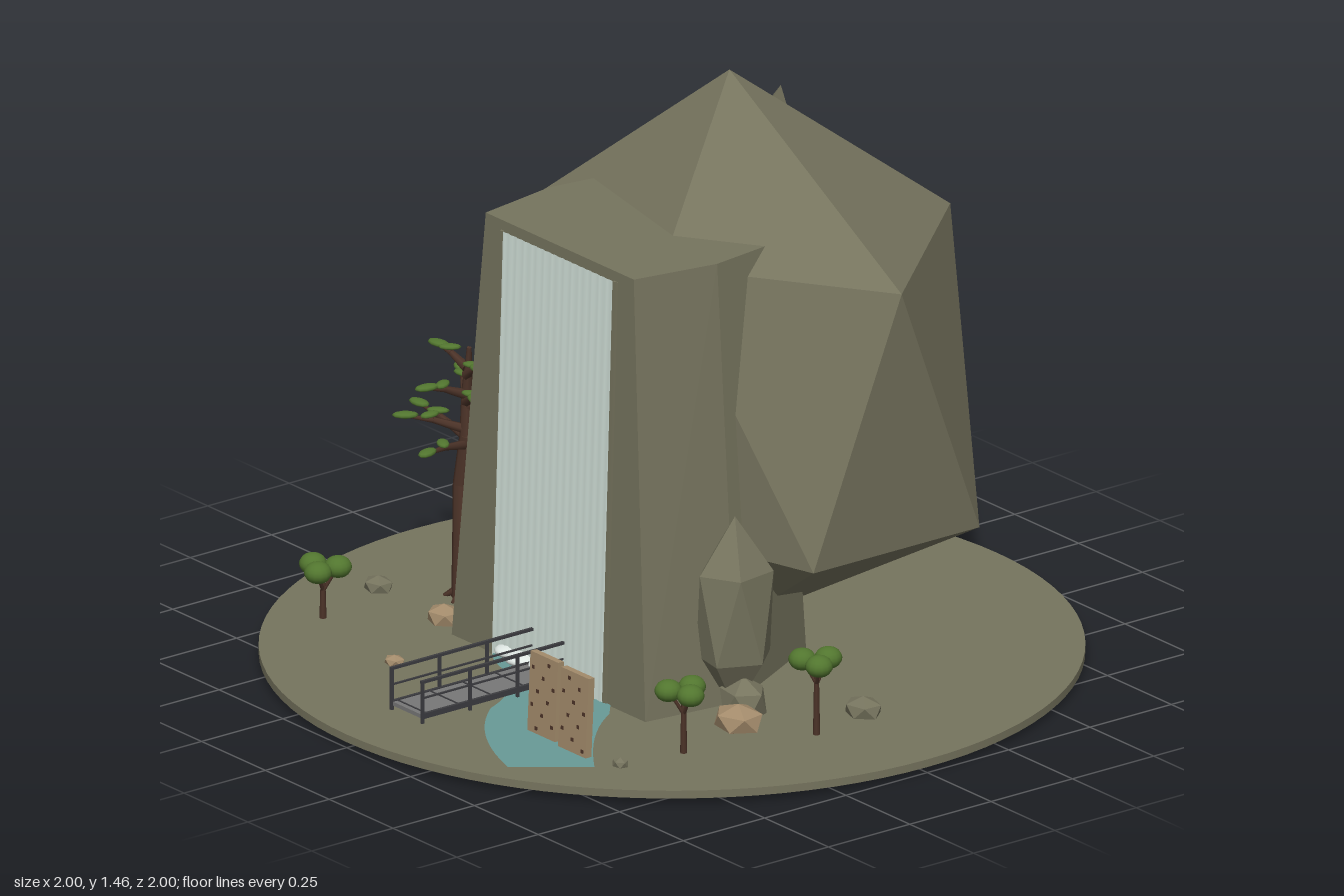
import * as THREE from 'three';
import { ConvexGeometry } from 'three/addons/geometries/ConvexGeometry.js';

const material = (name, color, extra = {}) => {
  const m = new THREE.MeshStandardMaterial({ color, ...extra });
  m.name = name;
  return m;
};

export function createModel() {
  const stone = material('stone', 0x76745e);
  const sandstone = material('sandstone', 0xa48c6c);
  const fallWater = material('fallWater', 0xd3e2da, { side: THREE.DoubleSide });
  const pool = material('pool', 0x689a97);
  const foamWhite = material('foamWhite', 0xe6eeea);
  const bark = material('bark', 0x4c3328);
  const leaf = material('leaf', 0x52762f);
  const deckGrey = material('deckGrey', 0x787878);
  const iron = material('iron', 0x3c3c40);

  const model = new THREE.Group();
  const group = (name) => {
    const g = new THREE.Group();
    g.name = name;
    model.add(g);
    return g;
  };
  const add = (parent, name, geometry, mat, x = 0, y = 0, z = 0) => {
    const mesh = new THREE.Mesh(geometry, mat);
    mesh.name = name;
    mesh.position.set(x, y, z);
    parent.add(mesh);
    return mesh;
  };
  const box = (parent, name, mat, w, h, d, x, y, z) =>
    add(parent, name, new THREE.BoxGeometry(w, h, d), mat, x, y, z);
  const hull = (points) => new ConvexGeometry(points.map((p) => new THREE.Vector3(...p)));

  // Tapered round limb between two points
  const limb = (parent, name, a, b, r0, r1, mat, sides = 7) => {
    const from = new THREE.Vector3(...a), to = new THREE.Vector3(...b);
    const dir = to.clone().sub(from);
    const mesh = add(parent, name, new THREE.CylinderGeometry(r1, r0, dir.length(), sides), mat);
    mesh.position.copy(from).addScaledVector(dir, 0.5);
    mesh.quaternion.setFromUnitVectors(new THREE.Vector3(0, 1, 0), dir.normalize());
    return mesh;
  };

  // Faceted stone with a vertex pointing up
  const boulder = (parent, name, mat, x, y, z, rx, ry, rz, turn) => {
    const g = new THREE.IcosahedronGeometry(1, 0).rotateX(-1.0172).rotateY(turn);
    g.scale(rx, ry, rz);
    g.computeVertexNormals();
    return add(parent, name, g, mat, x, y, z);
  };

  // Round ground plate
  add(model, 'ground', new THREE.CylinderGeometry(1, 1, 0.02, 96), stone, 0, 0.01, 0);

  // Large cliff boulder
  add(model, 'cliff', hull([
    [-0.03, 1.45, -0.2],
    [0.645, 1.07, -0.2], [0.23, 1.07, -0.675], [-0.55, 1.04, -0.51], [-0.52, 1.02, 0.04], [0.14, 1.07, 0.14],
    [0.58, 0.38, -0.49], [-0.14, 0.41, -0.7], [-0.65, 0.36, -0.27], [-0.2, 0.38, 0.24], [0.58, 0.38, 0.02],
    [-0.04, 0.01, -0.22],
  ]), stone);

  // Front buttress that carries the fall
  const buttress = [];
  for (const s of [-1, 1]) {
    buttress.push([s * 0.29, 1.13, 0.345], [s * 0.33, 1.13, 0.12], [s * 0.3, 1.13, -0.1],
      [s * 0.38, 0.01, 0.38], [s * 0.41, 0.01, 0.12], [s * 0.22, 0.01, -0.24]);
  }
  add(model, 'buttress', hull(buttress), stone);

  // Small shard on the back slope
  add(model, 'shard', hull([
    [-0.16, 1.31, -0.46], [-0.25, 1.16, -0.4], [-0.15, 1.2, -0.35], [-0.14, 1.15, -0.5], [-0.19, 1.13, -0.5],
  ]), stone);

  // Rippled waterfall sheet following the slope of the buttress
  const faceZ = (y) => 0.345 + ((1.13 - y) / 1.12) * 0.035;
  const fall = new THREE.PlaneGeometry(0.43, 1.085, 44, 1);
  const pos = fall.attributes.position;
  for (let i = 0; i < pos.count; i++) {
    const y = pos.getY(i) + 0.5625;
    pos.setXYZ(i, pos.getX(i), y, faceZ(y) + 0.005 + 0.0015 * Math.sin(i * 2.3));
  }
  fall.computeVertexNormals();
  add(model, 'waterfall', fall, fallWater);
  for (const s of [-1, 1]) {
    limb(model, 'fallEdge', [s * 0.221, 0.02, faceZ(0.02)], [s * 0.221, 1.105, faceZ(1.105)], 0.008, 0.008, stone, 4);
  }

  // Stream
  const stream = new THREE.Shape();
  stream.moveTo(-0.23, -0.36);
  stream.quadraticCurveTo(-0.19, -0.43, -0.06, -0.44);
  stream.quadraticCurveTo(0.04, -0.52, 0.08, -0.62);
  stream.quadraticCurveTo(0.2, -0.77, 0.42, -0.835);
  stream.lineTo(0.55, -0.67);
  stream.quadraticCurveTo(0.36, -0.54, 0.29, -0.42);
  stream.lineTo(0.22, -0.36);
  add(model, 'stream', new THREE.ShapeGeometry(stream, 10).rotateX(-Math.PI / 2), pool, 0, 0.0235, 0);

  // Foam at the foot of the fall
  const foam = group('foam');
  for (const [x, z, r] of [[-0.16, 0.37, 0.04], [-0.1, 0.38, 0.045], [-0.03, 0.37, 0.04],
    [0.04, 0.37, 0.04], [0.105, 0.38, 0.045], [0.155, 0.37, 0.03]]) {
    add(foam, 'foamPuff', new THREE.SphereGeometry(r, 16, 10).scale(1, 0.4, 1), foamWhite, x, 0.042, z);
  }

  // Footbridge with railings
  const bridge = group('footbridge');
  box(bridge, 'deck', deckGrey, 0.12, 0.01, 0.46, 0, 0.04, 0.585);
  for (let i = 0; i < 5; i++) box(bridge, 'deckJoint', iron, 0.12, 0.003, 0.004, 0, 0.0455, 0.4 + i * 0.1);
  for (const s of [-1, 1]) {
    box(bridge, 'beam', iron, 0.008, 0.014, 0.46, s * 0.058, 0.041, 0.585);
    box(bridge, 'handrail', iron, 0.008, 0.007, 0.45, s * 0.06, 0.13, 0.593);
    box(bridge, 'midrail', iron, 0.005, 0.004, 0.45, s * 0.06, 0.088, 0.593);
    for (let i = 0; i < 4; i++) box(bridge, 'railPost', iron, 0.007, 0.11, 0.007, s * 0.06, 0.078, 0.375 + i * 0.1465);
  }

  // Two perforated wooden panels
  for (const [x, z, seed] of [[0.305, 0.628, 1], [0.438, 0.638, 4]]) {
    const panel = group('woodenPanel');
    panel.position.set(x, 0.122, z);
    panel.rotation.x = -0.05;
    box(panel, 'board', sandstone, 0.108, 0.208, 0.018, 0, 0, 0);
    for (let i = 0; i < 10; i++) {
      const hx = (((i * 3 + seed) % 5) - 2) * 0.02, hy = (i - 4.5) * 0.019;
      box(panel, 'hole', bark, 0.009, 0.009, 0.021, hx, hy, 0);
    }
  }

  // Crags and loose stones: position, radii, turn
  boulder(model, 'leftCrag', stone, -0.45, 0.235, 0.18, 0.08, 0.205, 0.1, 0.5);
  boulder(model, 'rightCrag', stone, 0.425, 0.26, 0.14, 0.1, 0.25, 0.11, 1.1);
  const stones = group('looseStones');
  for (const [mat, x, z, r, h] of [
    [stone, -0.68, 0.04, 0.065, 0.045], [stone, 0.66, -0.07, 0.055, 0.04], [stone, -0.73, 0.33, 0.043, 0.032],
    [stone, 0.47, 0.15, 0.07, 0.08], [stone, 0.575, 0.61, 0.024, 0.02], [sandstone, 0.54, 0.22, 0.072, 0.05],
    [sandstone, -0.46, 0.34, 0.05, 0.04], [sandstone, -0.31, 0.61, 0.03, 0.02],
  ]) boulder(stones, 'stone', mat, x, 0.018 + h * 0.4, z, r, h * 0.8, r * 0.85, x * 9);

  // Small round-topped trees
  for (const [x, z, h, turn] of [[0.7, 0.105, 0.21, 0.5], [0.6, 0.435, 0.18, 0.2], [-0.66, 0.555, 0.15, 1.0]]) {
    const tree = group('smallTree');
    tree.position.set(x, 0, z);
    limb(tree, 'trunk', [0, 0.015, 0], [0, h - 0.03, 0], 0.009, 0.006, bark);
    for (let i = 0; i < 3; i++) {
      const a = turn + (i * Math.PI * 2) / 3;
      const cx = Math.cos(a) * 0.037, cz = Math.sin(a) * 0.037;
      limb(tree, 'twig', [0, h - 0.06, 0], [cx, h, cz], 0.005, 0.004, bark, 5);
      add(tree, 'crown', new THREE.SphereGeometry(0.034, 14, 10).scale(1, 0.8, 1), leaf, cx, h, cz);
    }
  }

  // Tall gnarled pine with flat needle pads
  const pine = group('pine');
  const trunk = [[-0.56, 0.015, 0.2], [-0.575, 0.15, 0.195], [-0.59, 0.3, 0.185], [-0.575, 0.43, 0.18],
    [-0.58, 0.54, 0.175], [-0.565, 0.66, 0.18]];
  const radius = [0.032, 0.024, 0.021, 0.018, 0.014, 0.006];
  for (let i = 0; i < 5; i++) limb(pine, 'trunk', trunk[i], trunk[i + 1], radius[i], radius[i + 1], bark);
  for (let i = 0; i < 5; i++) {
    const a = i * 1.257;
    limb(pine, 'root', [-0.56, 0.05, 0.2], [-0.56 + Math.cos(a) * 0.05, 0.018, 0.2 + Math.sin(a) * 0.05], 0.014, 0.006, bark, 5);
  }
  // Branches: direction, reach, height
  for (const [a, reach, y] of [[3.1, 0.19, 0.45], [1.2, 0.2, 0.43], [4.6, 0.18, 0.46], [2.2, 0.16, 0.47],
    [0.4, 0.09, 0.54], [5.4, 0.13, 0.53], [3.7, 0.13, 0.55], [1.7, 0.12, 0.56], [3.0, 0.1, 0.63], [0.2, 0.07, 0.61]]) {
    const c = Math.cos(a), s = Math.sin(a);
    const at = (t, dy) => [-0.577 + c * reach * t, y + dy, 0.18 + s * reach * t];
    limb(pine, 'branch', at(0, -0.025), at(0.5, 0), 0.013, 0.008, bark, 6);
    limb(pine, 'branchTip', at(0.5, 0), at(0.95, 0.012), 0.008, 0.003, bark, 6);
    for (const [t, w] of [[0.55, 0.026], [0.92, 0.03]]) {
      const pad = add(pine, 'needlePad', new THREE.SphereGeometry(w, 10, 6).scale(1.1, 0.28, 0.6), leaf, ...at(t, 0.014));
      pad.rotation.y = -a + (t < 0.7 ? 0.7 : 0);
    }
  }
  return model;
}
